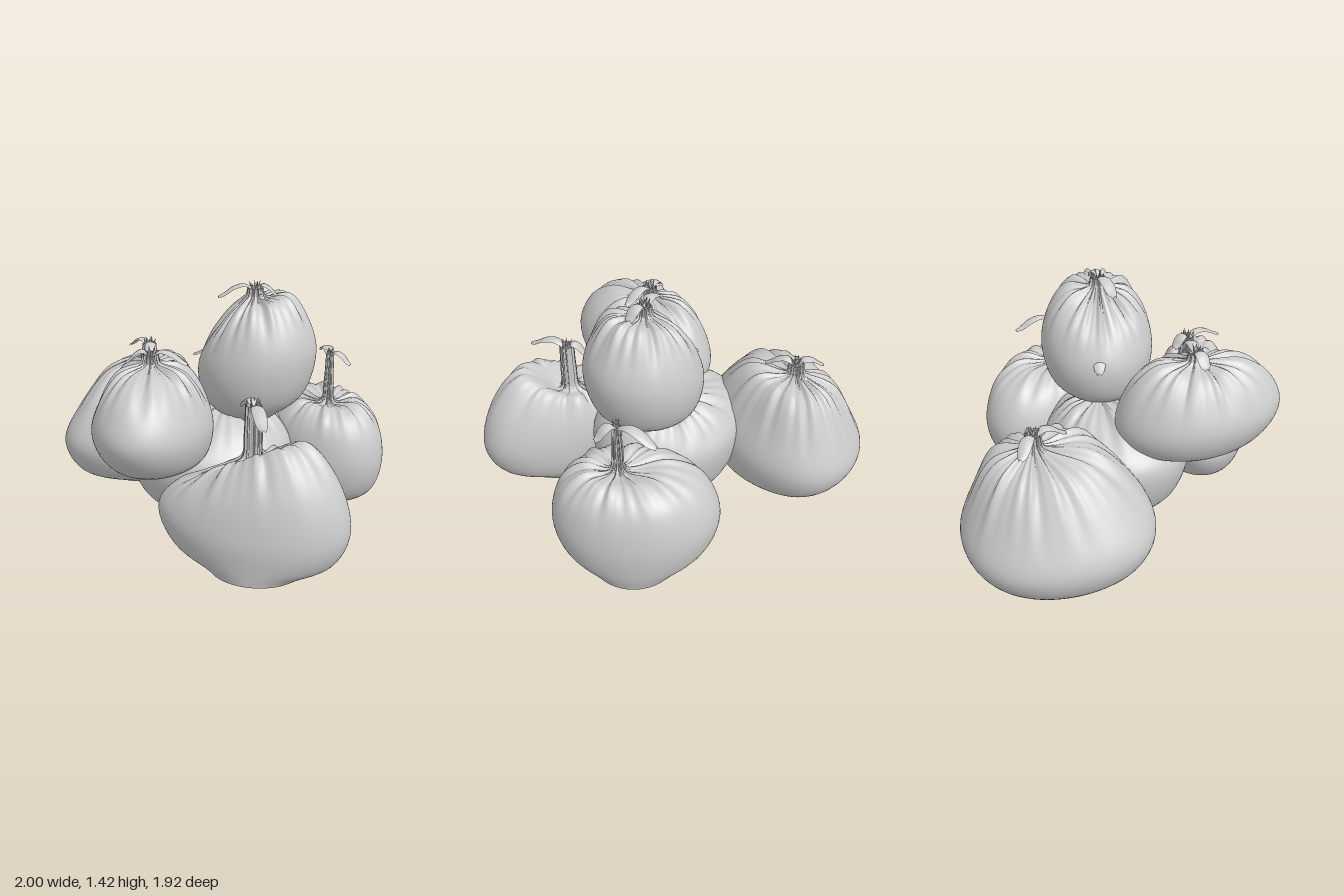
import * as THREE from 'three';

const material = new THREE.MeshStandardMaterial({ color: 0xcccccc, side: THREE.DoubleSide });
const V = (x, y, z) => new THREE.Vector3(x, y, z);
const { lerp, smoothstep } = THREE.MathUtils;

// Surface through equal-length columns of points, optionally closed into a loop
function loft(columns, closed) {
  const rows = columns[0].length, n = columns.length, index = [];
  for (let i = 0; i < (closed ? n : n - 1); i++) {
    for (let j = 0; j < rows - 1; j++) {
      const a = i * rows + j, b = ((i + 1) % n) * rows + j;
      index.push(a, b, b + 1, a, b + 1, a + 1);
    }
  }
  const geometry = new THREE.BufferGeometry().setFromPoints(columns.flat());
  geometry.setIndex(index);
  geometry.computeVertexNormals();
  return geometry;
}

// Irregular gathers running around the neck
const pleat = (a, seed) => 0.45 * Math.sin(11 * a + seed) + 0.35 * Math.sin(17 * a + seed * 2.3) + 0.35 * Math.sin(26 * a + seed * 4);

// Point between p and q with separate sideways and upward shares
const mix = (p, q, out, up) => V(lerp(p.x, q.x, out), lerp(p.y, q.y, up), lerp(p.z, q.z, out));

// Open-bottomed cloth body: every column runs from the base rim over the belly to the neck
function sackBody(s) {
  const N = 120, M = 44, columns = [];
  const [bx, by, bz] = s.base, [nx, ny, nz] = s.neck;
  const [cx, cz, hx, hz] = s.belly;
  for (let i = 0; i < N; i++) {
    // skewed, slightly boxy oval at the widest height
    const t = i / N * Math.PI * 2, u = t + s.skew;
    const w = V(
      cx + hx * (Math.cos(t) - s.boxy * Math.cos(3 * t)) / (1 - s.boxy),
      s.wideY,
      cz - hz * (Math.sin(u) + s.boxy * Math.sin(3 * u)) / (1 - s.boxy),
    );
    w.y += s.wideSlope[0] * (w.x - bx) + s.wideSlope[1] * (w.z - bz);
    const ab = Math.atan2(w.z - bz, w.x - bx), an = Math.atan2(w.z - nz, w.x - nx);
    const ex = Math.cos(an), ez = Math.sin(an), dz = s.rim * Math.sin(ab);
    const b = V(bx + s.rim * Math.cos(ab), by + s.baseSlope * dz, bz + dz);
    const n = V(nx + s.neckR * ex, ny, nz + s.neckR * ez);
    const neckTop = V(nx + s.topR * ex, s.top, nz + s.topR * ez);
    // shoulder points: fullness differs sideways and front to back, and leans with lift
    const shoulder = (out, upX, upZ, share) => {
      const p = mix(w, n, out, lerp(upZ, upX, ex * ex));
      p.y += share * (s.lift[0] * (p.x - nx) + s.lift[1] * (p.z - nz));
      return p;
    };
    const low = shoulder(0.19, s.fullX[0], s.fullZ[0], 0.4), high = shoulder(0.56, s.fullX[1], s.fullZ[1], 1);
    const curve = new THREE.CatmullRomCurve3([b, mix(b, w, 0.72, 0.35), w, low, high, n, mix(n, neckTop, 0.75, 0.45), neckTop]);
    columns.push(curve.getPoints(M).map((p, j) => {
      const k = j / M * 7;
      const fold = smoothstep(k, 2.3, 4.4) * (1 - 0.55 * smoothstep(k, 4.4, 5));
      const d = 0.015 * fold * pleat(an, s.seed);
      return p.add(V(ex * d, k < 5 ? d : 0, ez * d));
    }));
  }
  return loft(columns, true);
}

// Curled strip that springs from the neck and droops to its tip
function tieStrip(s, dx, dz) {
  const along = V(dx, 0, dz), side = V(-dz, 0, dx).normalize();
  const at = (k, rise) => V(s.neck[0], s.top + rise, s.neck[2]).addScaledVector(along, k);
  const path = new THREE.CatmullRomCurve3([at(0, -0.01), at(0.3, 0.025), at(0.6, 0.01), at(0.85, -0.025), at(1, -0.04)]);
  const points = path.getPoints(16);
  const columns = [1, 0.5, 0, -0.5, -1].map((u) => points.map((p, j) => {
    const width = 0.006 + 0.03 * Math.sin(Math.PI * (j / 16 * 0.85 + 0.1));
    return p.clone().addScaledVector(side, u * width).add(V(0, -0.012 * u * u, 0));
  }));
  return loft(columns, false);
}

// One tied sack. base / neck: centres; belly: centre x, z and half widths x, z at the widest height;
// slopes and lift: rise per unit across; full: how high the two shoulder points stand; ties: x, z reach of each strip
function makeSack(name, options) {
  const s = {
    rim: 0.25, baseSlope: 0, wideSlope: [0, 0], skew: 0, boxy: 0, lift: [0, 0], neckR: 0.055, topR: 0.04, ...options,
  };
  const sack = new THREE.Group();
  sack.name = name;
  const add = (part, geometry) => {
    const mesh = new THREE.Mesh(geometry, material);
    mesh.name = part;
    sack.add(mesh);
    return mesh;
  };
  add('sackBody', sackBody(s));
  s.ties.forEach(([dx, dz]) => add('tieStrip', tieStrip(s, dx, dz)));
  // frayed cloth ends standing out of the neck
  for (let i = 0; i < 9; i++) {
    const a = i * 2.4 + s.seed, r = s.topR * (0.35 + 0.6 * ((i * 5) % 9) / 9);
    const h = 0.04 + 0.025 * ((i * 4) % 9) / 9;
    const fray = add('frayedEnd', new THREE.ConeGeometry(0.01, h, 5));
    fray.position.set(s.neck[0] + r * Math.cos(a), s.top + h * 0.2, s.neck[2] + r * Math.sin(a));
    fray.rotation.set(0.3 * Math.sin(a), 0, -0.3 * Math.cos(a));
  }
  return sack;
}

export function createModel() {
  const model = new THREE.Group();
  model.name = 'sackPile';
  // four sacks on the ground
  model.add(makeSack('backLeaningSack', {
    seed: 0.4, base: [-0.52, 0.045, -0.4], baseSlope: 0.1, wideY: 0.33, wideSlope: [0.06, 0.1],
    belly: [-0.56, -0.445, 0.44, 0.515], skew: 0.13, boxy: 0.02, fullX: [0.42, 0.88], fullZ: [0.45, 0.9], lift: [0.15, 0.1],
    neck: [-0.49, 0.8, -0.54], top: 0.87, ties: [[-0.15, -0.09], [0.05, 0.18]],
  }));
  model.add(makeSack('uprightSack', {
    seed: 2.1, base: [0.65, 0.05, -0.3], wideY: 0.37,
    belly: [0.61, -0.285, 0.39, 0.405], skew: -0.33, fullX: [0.72, 1.04], fullZ: [0.75, 1.06],
    neck: [0.66, 0.66, -0.21], neckR: 0.045, top: 0.95, topR: 0.02, ties: [[-0.04, -0.24], [0.12, 0.04]],
  }));
  model.add(makeSack('frontSack', {
    seed: 3.8, base: [0.32, 0.05, 0.69], baseSlope: 0.12, wideY: 0.33, wideSlope: [0, -0.05],
    belly: [0.29, 0.643, 0.51, 0.315], skew: -0.25, fullX: [0.62, 1], fullZ: [0.65, 1.05], lift: [0.42, 0.35],
    neck: [0.28, 0.62, 0.55], neckR: 0.06, top: 0.91, ties: [[-0.06, -0.1], [0.07, 0.23]],
  }));
  model.add(makeSack('middleSack', {
    seed: 5.5, base: [0, 0.045, 0.08], rim: 0.24, baseSlope: 0.17, wideY: 0.46, wideSlope: [-0.05, 0],
    belly: [-0.02, 0.025, 0.48, 0.425], fullX: [0.55, 0.9], fullZ: [0.45, 0.85],
    neck: [0.08, 0.71, -0.05], top: 1, topR: 0.03, ties: [[-0.21, -0.05], [0.12, 0.05]],
  }));
  // two sacks stacked on them
  model.add(makeSack('stackedFrontSack', {
    seed: 7.2, base: [-0.21, 0.485, 0.37], rim: 0.17, wideY: 0.72, wideSlope: [0, 0.1],
    belly: [-0.265, 0.435, 0.315, 0.475], skew: 0.02, fullX: [0.45, 0.84], fullZ: [0.6, 0.95],
    neck: [-0.28, 1.06, 0.4], top: 1.11, ties: [[-0.13, 0.02], [0.2, 0.01]],
  }));
  model.add(makeSack('topSack', {
    seed: 8.9, base: [0.2, 0.66, -0.02], rim: 0.17, baseSlope: -0.04, wideY: 0.97, wideSlope: [0.18, 0],
    belly: [0.245, -0.025, 0.335, 0.325], fullX: [0.45, 0.82], fullZ: [0.55, 0.9], lift: [0.35, 0],
    neck: [0.23, 1.33, -0.02], top: 1.38, ties: [[-0.2, 0.05], [0.13, 0]],
  }));
  return model;
}
